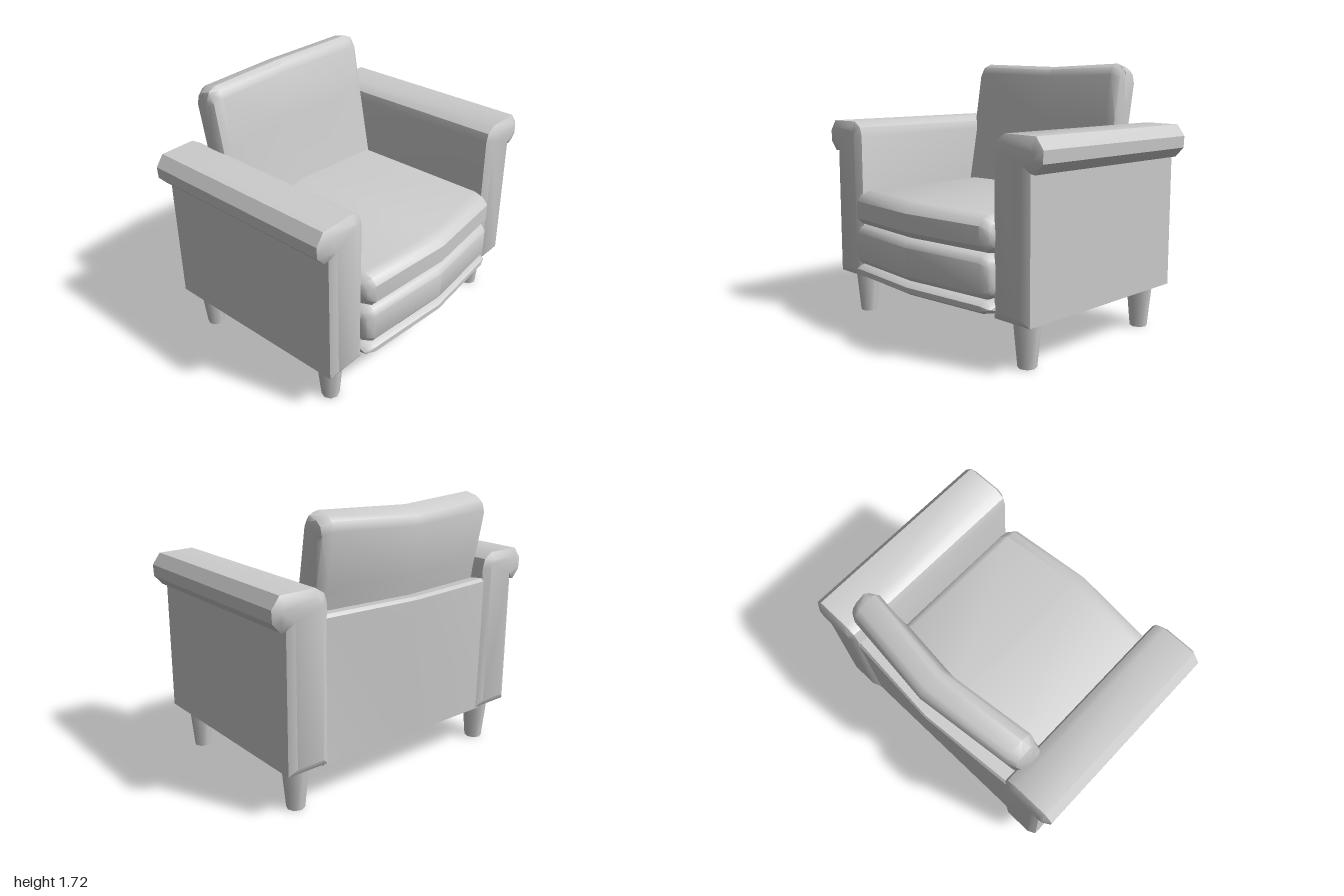
import * as THREE from 'three';
import { toCreasedNormals } from 'three/addons/utils/BufferGeometryUtils.js';

const grey = new THREE.MeshStandardMaterial({ color: 0xcccccc });

function addMesh(group, name, geometry) {
  const mesh = new THREE.Mesh(geometry, grey);
  mesh.name = name;
  group.add(mesh);
  return mesh;
}

// Pull an outline inward by e on both axes, towards its middle.
function inset(points, e) {
  const cx = points.reduce((s, p) => s + p[0], 0) / points.length;
  const cy = points.reduce((s, p) => s + p[1], 0) / points.length;
  const pull = (v, c) => v - Math.sign(v - c) * Math.min(e, Math.abs(v - c));
  return points.map(([x, y]) => [pull(x, cx), pull(y, cy)]);
}

// Join counter-clockwise (x, y) outlines along z, with closed ends.
function loft(sections, crease = 0.65) {
  const pos = [], idx = [], n = sections[0].points.length;
  for (const { z, points } of sections) for (const [x, y] of points) pos.push(x, y, z);
  for (let i = 0; i < sections.length - 1; i++) {
    for (let j = 0; j < n; j++) {
      const a = i * n + j, b = i * n + (j + 1) % n;
      idx.push(a, b, b + n, a, b + n, a + n);
    }
  }
  for (const end of [0, sections.length - 1]) {
    const { z, points } = sections[end], c = pos.length / 3;
    pos.push(points.reduce((s, p) => s + p[0], 0) / n, points.reduce((s, p) => s + p[1], 0) / n, z);
    for (let j = 0; j < n; j++) {
      const a = end * n + j, b = end * n + (j + 1) % n;
      if (end) idx.push(c, a, b); else idx.push(c, b, a);
    }
  }
  const g = new THREE.BufferGeometry();
  g.setAttribute('position', new THREE.Float32BufferAttribute(pos, 3));
  g.setIndex(idx);
  return toCreasedNormals(g, crease);
}

// Seat layer: front edge bows forward in the middle, sides are rounded.
function seatLayer(back, y0, y1, bevelX, bevelY, round) {
  const stations = [[-0.655, 1], [-0.64, 0.45], [-0.59, 0], [0, 0], [0.59, 0], [0.64, 0.45], [0.655, 1]];
  return loft(stations.map(([z, k]) => {
    const front = 0.755 - 0.055 * Math.abs(z) / 0.59;
    const points = [
      [back, y0], [front - bevelX, y0], [front - bevelX * 0.35, y0 + bevelY * 0.35], [front, y0 + bevelY],
      [front, y1 - bevelY], [front - bevelX * 0.35, y1 - bevelY * 0.35], [front - bevelX, y1], [back, y1],
    ];
    return { z, points: inset(points, k * round) };
  }));
}

// Scroll-topped arm with a chamfered face at front and back.
function armGeometry(side) {
  const outline = [
    [0.68, 0.33], [0.865, 0.33], [0.865, 1.185], [0.92, 1.18], [0.95, 1.213],
    [0.952, 1.255], [0.922, 1.295], [0.725, 1.297], [0.69, 1.275], [0.68, 1.24],
  ];
  const shape = new THREE.Shape(outline.map(([z, y]) => new THREE.Vector2(z * side, y)));
  const g = new THREE.ExtrudeGeometry(shape, {
    depth: 1.33, bevelEnabled: true, bevelSize: 0.045, bevelThickness: 0.028, bevelSegments: 1,
  });
  g.rotateY(-Math.PI / 2).translate(0.62, 0, 0);
  return toCreasedNormals(g, 0.6);
}

export function createModel() {
  const chair = new THREE.Group();
  chair.name = 'armchair';

  // Arms and tapered legs, mirrored across z
  for (const side of [1, -1]) {
    const label = side > 0 ? 'left' : 'right';
    addMesh(chair, label + 'Arm', armGeometry(side));
    for (const [name, x] of [['Front', 0.495], ['Back', -0.585]]) {
      const leg = new THREE.CylinderGeometry(0.085, 0.057, 0.29, 8);
      addMesh(chair, label + name + 'Leg', leg).position.set(x, 0.145, side * 0.775);
    }
  }

  // Stacked seat: cushion, upholstered base and thin lower rail
  addMesh(chair, 'seatCushion', seatLayer(-0.6, 0.65, 0.883, 0.1, 0.06, 0.06));
  addMesh(chair, 'seatBase', seatLayer(-0.62, 0.385, 0.66, 0.07, 0.05, 0.05));
  addMesh(chair, 'seatRail', seatLayer(-0.68, 0.3, 0.392, 0.09, 0.03, 0.025));

  // Leaning back cushion, bent backwards at the middle
  const backProfile = [
    [-0.53, 0.8], [-0.34, 0.8], [-0.44, 1.34], [-0.485, 1.66], [-0.51, 1.705],
    [-0.555, 1.725], [-0.64, 1.705], [-0.675, 1.675], [-0.69, 1.62], [-0.64, 1.3],
  ];
  const backStations = [[-0.645, 0.06], [-0.63, 0.025], [-0.575, 0], [0.02, 0], [0.615, 0], [0.67, 0.025], [0.685, 0.06]];
  addMesh(chair, 'backCushion', loft(backStations.map(([z, e]) => {
    const bend = Math.max(0, 1 - Math.abs(z - 0.02) / 0.62);
    const points = backProfile.map(([x, y]) => [x - 0.063 * bend, y - (y > 1.6 ? 0.02 * bend : 0)]);
    return { z, points: inset(points, e) };
  })));

  // Rear panel: straight at the foot, bowed outwards along its top edge
  addMesh(chair, 'rearPanel', loft([-0.66, 0, 0.66].map((z) => {
    const bow = 1 - Math.abs(z) / 0.66;
    return {
      z,
      points: [
        [-0.71, 0.275], [-0.675 + 0.05 * bow, 0.275], [-0.6, 0.9], [-0.62 - 0.05 * bow, 1.17],
        [-0.7 - 0.05 * bow, 1.18], [-0.715 - 0.045 * bow, 1.16],
      ],
    };
  }), 0.3));

  return chair;
}
